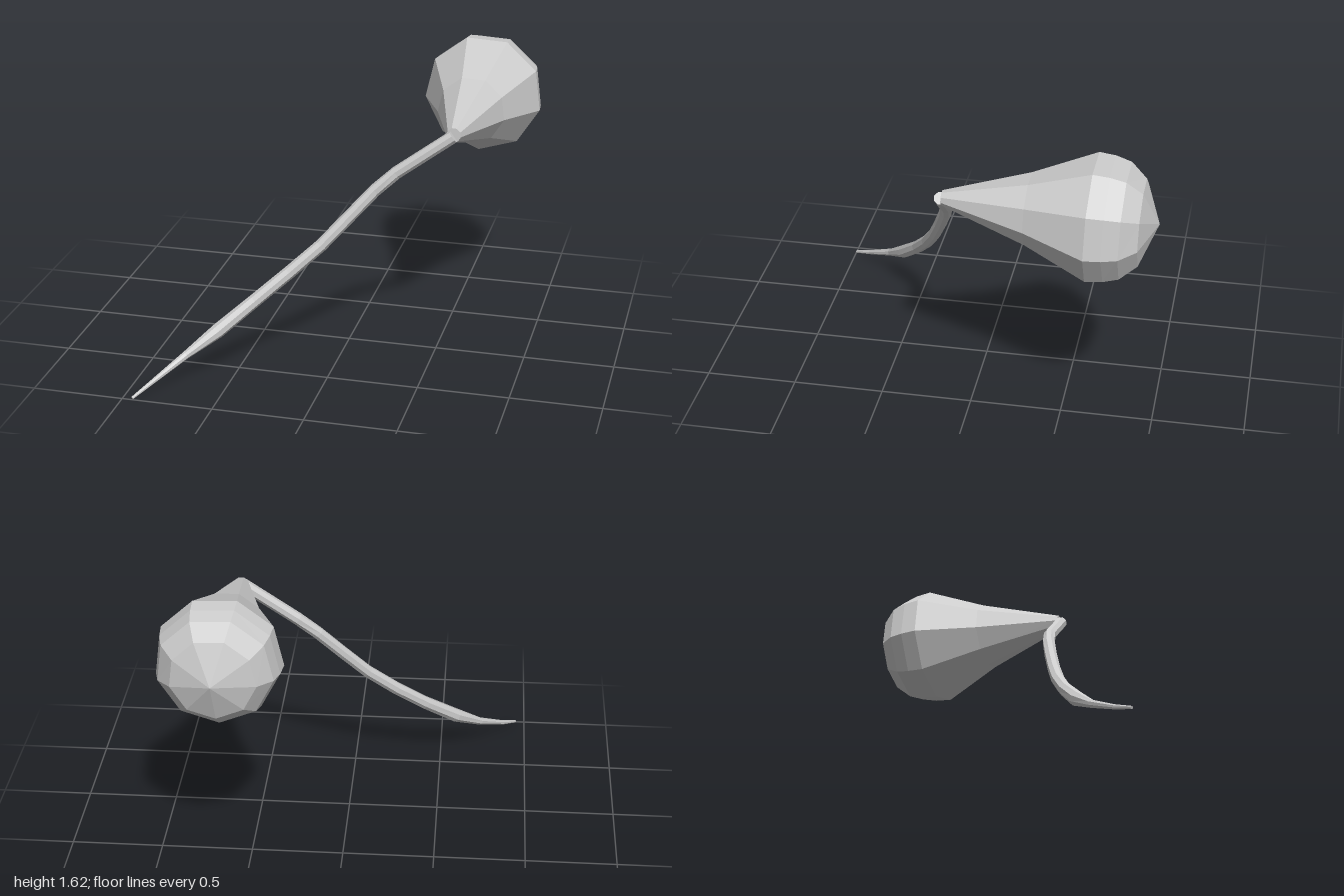
import * as THREE from 'three';

const material = new THREE.MeshStandardMaterial({ color: 0xcccccc, flatShading: true });

// Skin a tube through stations [x, y, z, radius], each ring square to the path.
function loft(name, stations, sides, phase) {
  const centres = stations.map(([x, y, z]) => new THREE.Vector3(x, y, z));
  const up = new THREE.Vector3(0, 1, 0);
  const last = stations.length - 1;
  const positions = [];
  const index = [];
  centres.forEach((c, i) => {
    const before = centres[Math.max(i - 1, 0)];
    const after = centres[Math.min(i + 1, last)];
    const t = after.clone().sub(before).normalize();
    const u = up.clone().addScaledVector(t, -up.dot(t)).normalize();
    const v = t.clone().cross(u);
    for (let j = 0; j < sides; j++) {
      const a = phase + (j / sides) * Math.PI * 2;
      const p = c.clone()
        .addScaledVector(u, Math.cos(a) * stations[i][3])
        .addScaledVector(v, Math.sin(a) * stations[i][3]);
      positions.push(p.x, p.y, p.z);
    }
  });
  for (let i = 0; i < last; i++) {
    for (let j = 0; j < sides; j++) {
      const k = (j + 1) % sides;
      const a = i * sides + j, b = i * sides + k;
      const c = a + sides, d = b + sides;
      index.push(a, b, c);
      if (stations[i + 1][3] > 0) index.push(b, d, c);
    }
  }
  // End caps
  for (let j = 1; j < sides - 1; j++) {
    index.push(0, j + 1, j);
    const e = last * sides;
    if (stations[last][3] > 0) index.push(e, e + j, e + j + 1);
  }
  const geometry = new THREE.BufferGeometry();
  geometry.setAttribute('position', new THREE.Float32BufferAttribute(positions, 3));
  geometry.setIndex(index);
  geometry.computeVertexNormals();
  const mesh = new THREE.Mesh(geometry, material);
  mesh.name = name;
  return mesh;
}

export function createModel() {
  const group = new THREE.Group();
  group.name = 'bulbOnStem';

  // Curved stem, tapering to a point at its lower end
  group.add(loft('stem', [
    [-0.945, 0.01, 0.995, 0.008],
    [-0.87, 0.06, 0.89, 0.013],
    [-0.73, 0.16, 0.725, 0.022],
    [-0.585, 0.265, 0.605, 0.04],
    [-0.41, 0.41, 0.485, 0.037],
    [-0.24, 0.555, 0.39, 0.036],
    [-0.08, 0.7, 0.315, 0.035],
    [0.06, 0.855, 0.25, 0.035],
    [0.19, 1.0, 0.195, 0.035],
    [0.3, 1.1, 0.165, 0.035],
    [0.6, 1.32, 0.133, 0.035],
  ], 8, Math.PI / 8));

  // Nine-sided bulb, narrow at the stem and rounded at the back
  group.add(loft('bulb', [
    [0.6, 1.325, 0.125, 0.04],
    [0.61, 1.313, -0.33, 0.19],
    [0.617, 1.303, -0.66, 0.335],
    [0.619, 1.302, -0.75, 0.326],
    [0.621, 1.3, -0.83, 0.303],
    [0.622, 1.298, -0.915, 0.226],
    [0.623, 1.297, -1.0, 0],
  ], 9, THREE.MathUtils.degToRad(182.6)));

  return group;
}
